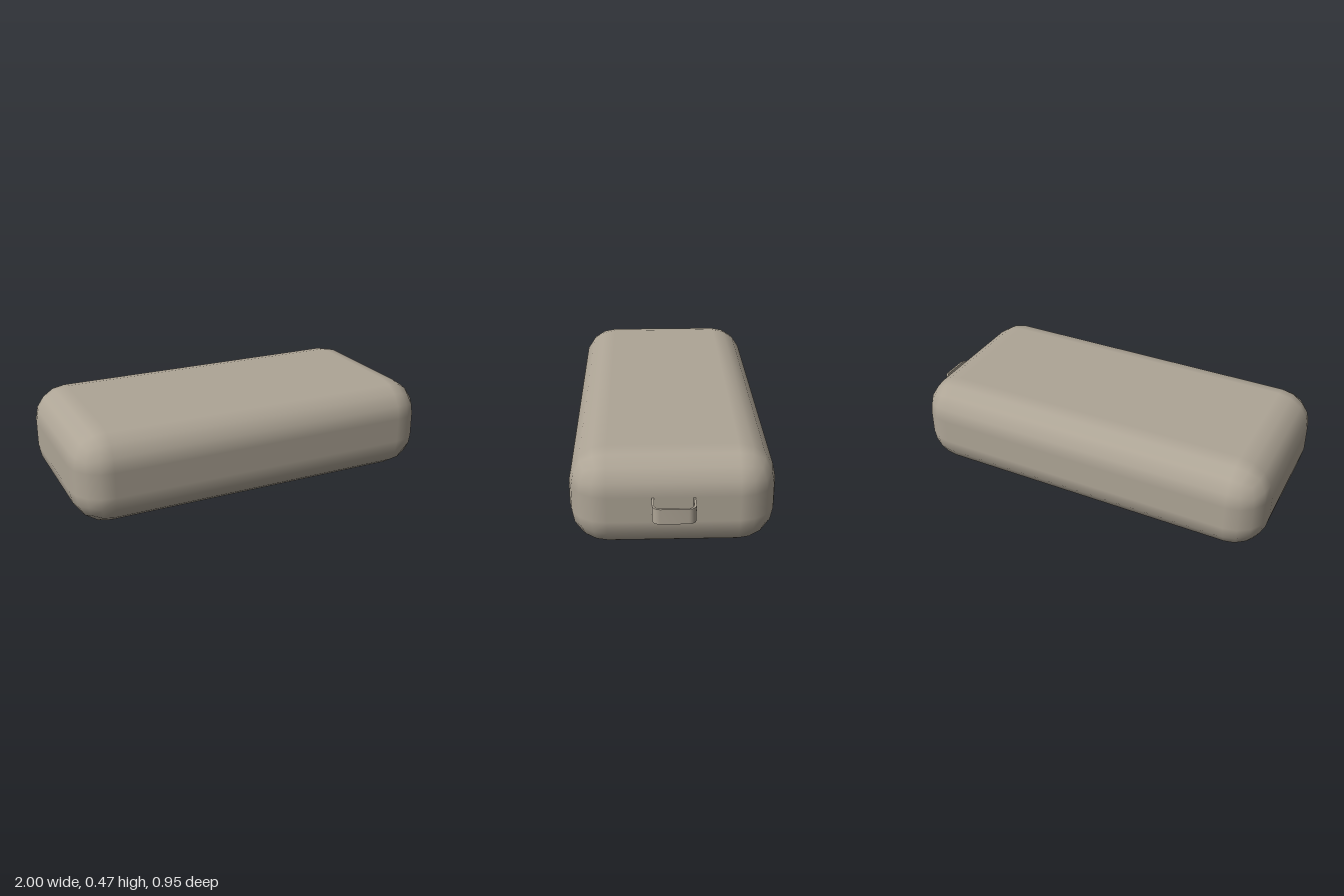
import * as THREE from 'three';
import { toCreasedNormals } from 'three/addons/utils/BufferGeometryUtils.js';

// Box whose edges and corners are rounded in four even steps per quarter turn
function roundedBlock(width, height, depth, radius) {
  const geometry = new THREE.BoxGeometry(5, 5, 5, 5, 5, 5);
  const position = geometry.attributes.position;
  const inner = new THREE.Vector3(width / 2 - radius, height / 2 - radius, depth / 2 - radius);
  const p = new THREE.Vector3();
  const n = new THREE.Vector3();
  const bend = (v) => Math.tan((v - Math.sign(v) * 0.5) * Math.PI / 8);
  for (let i = 0; i < position.count; i++) {
    p.fromBufferAttribute(position, i);
    n.set(bend(p.x), bend(p.y), bend(p.z)).normalize();
    p.set(Math.sign(p.x), Math.sign(p.y), Math.sign(p.z)).multiply(inner).addScaledVector(n, radius);
    position.setXYZ(i, p.x, p.y, p.z);
    geometry.attributes.normal.setXYZ(i, n.x, n.y, n.z);
  }
  return geometry;
}

// Flat strap bent into a U with rounded corners
function strapLoop(start, end, half, radius, thickness, height) {
  const s = new THREE.Shape();
  const t = thickness;
  const r = radius - t;
  const c = end - radius;
  const d = half - radius;
  s.moveTo(start, -half);
  s.lineTo(c, -half);
  s.absarc(c, -d, radius, -Math.PI / 2, 0, false);
  s.absarc(c, d, radius, 0, Math.PI / 2, false);
  s.lineTo(start, half);
  s.lineTo(start, half - t);
  s.absarc(c, d, r, Math.PI / 2, 0, true);
  s.absarc(c, -d, r, 0, -Math.PI / 2, true);
  s.lineTo(start, -half + t);
  s.closePath();
  const geometry = new THREE.ExtrudeGeometry(s, { depth: height, bevelEnabled: false, curveSegments: 4 });
  geometry.rotateX(-Math.PI / 2);
  return toCreasedNormals(geometry, 0.6);
}

export function createModel() {
  const model = new THREE.Group();
  model.name = 'roundedCase';
  const casing = new THREE.MeshStandardMaterial({ color: 0xaea596 });
  casing.name = 'warmGrey';

  // Main body
  const body = new THREE.Mesh(roundedBlock(1.9, 0.475, 0.95, 0.175), casing);
  body.name = 'body';
  body.position.set(-0.05, 0.2375, 0);
  model.add(body);

  // Carrying loop on the left end
  const loop = new THREE.Mesh(strapLoop(0.895, 1, 0.098, 0.035, 0.01, 0.075), casing);
  loop.name = 'endLoop';
  loop.position.y = 0.225;
  model.add(loop);

  return model;
}
